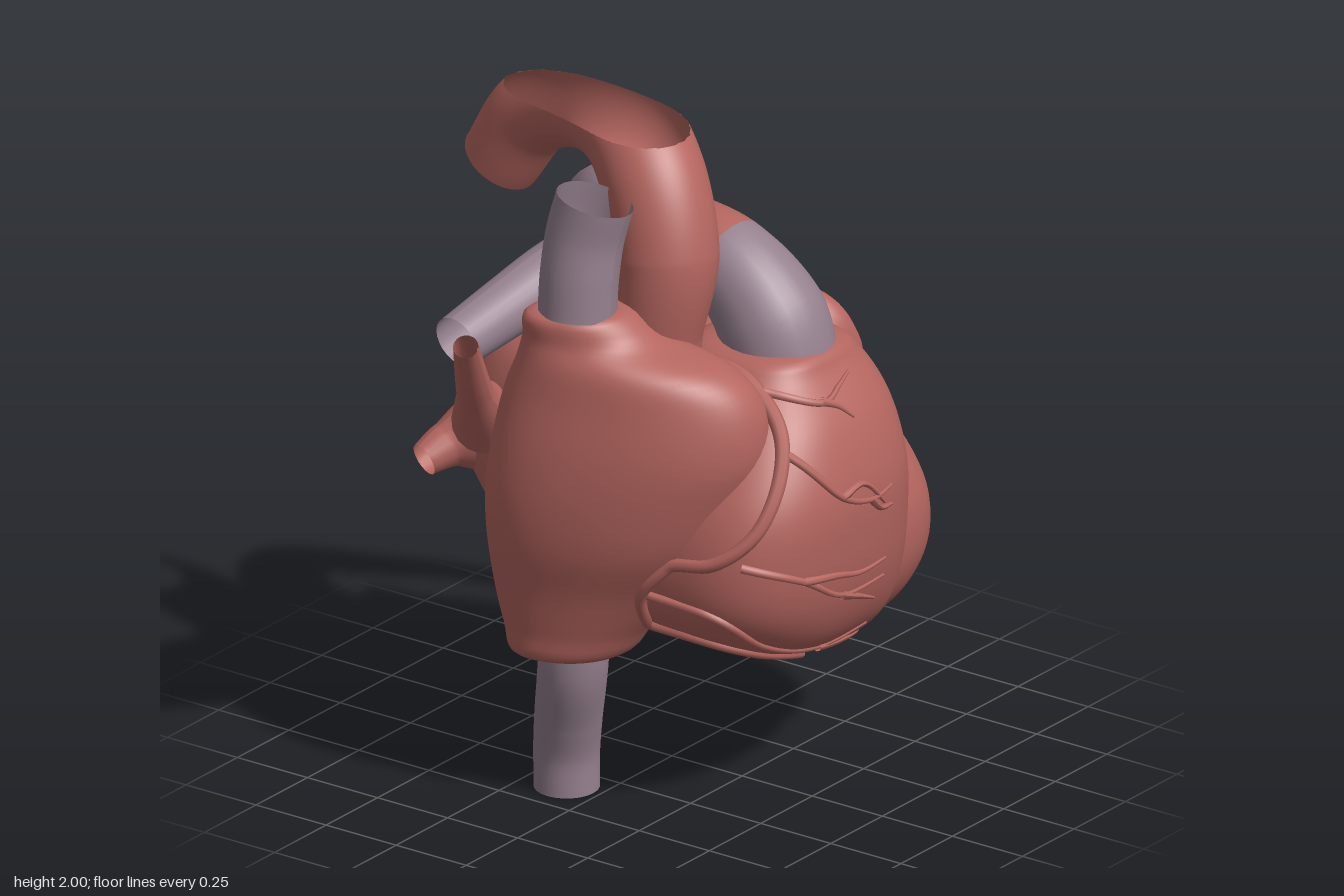
import * as THREE from 'three';

const red = new THREE.MeshStandardMaterial({ color: 0xb4655f, side: THREE.DoubleSide });
red.name = 'muscle red';
const purple = new THREE.MeshStandardMaterial({ color: 0x95808e, side: THREE.DoubleSide });
purple.name = 'vein purple';

const V = (p) => new THREE.Vector3(...p);

function named(name, geometry, material = red) {
  const mesh = new THREE.Mesh(geometry, material);
  mesh.name = name;
  return mesh;
}

// Smooth body from horizontal sections [y, xMin, xMax, zMin, zMax];
// n is the squareness, lean moves the front of each section toward +x
function loft(sections, n, lean = 0, rings = 56, sides = 72) {
  const mid = new THREE.CatmullRomCurve3(
    sections.map(([y, a, b, c, d]) => new THREE.Vector3((a + b) / 2, y, (c + d) / 2)), false, 'catmullrom');
  const half = new THREE.CatmullRomCurve3(
    sections.map(([, a, b, c, d]) => new THREE.Vector3((b - a) / 2, 0, (d - c) / 2)), false, 'catmullrom');
  const pos = [], index = [];
  const bend = (v) => Math.sign(v) * Math.abs(v) ** (2 / n);
  for (let k = 0; k <= rings; k++) {
    const c = mid.getPoint(k / rings), h = half.getPoint(k / rings);
    for (let j = 0; j < sides; j++) {
      const a = (j / sides) * Math.PI * 2;
      const dz = Math.max(h.z, 0) * bend(Math.sin(a));
      pos.push(c.x + Math.max(h.x, 0) * bend(Math.cos(a)) + lean * dz, c.y, c.z + dz);
      if (k === rings) continue;
      const A = k * sides + j, B = k * sides + (j + 1) % sides;
      index.push(A, A + sides, B, B, A + sides, B + sides);
    }
  }
  const g = new THREE.BufferGeometry();
  g.setAttribute('position', new THREE.Float32BufferAttribute(pos, 3));
  g.setIndex(index);
  g.computeVertexNormals();
  return g;
}

// Open tube through points [x, y, z, radius]
function vessel(points, segments = 40, sides = 24) {
  const curve = new THREE.CatmullRomCurve3(points.map((p) => V(p.slice(0, 3))));
  const g = new THREE.TubeGeometry(curve, segments, 1, sides);
  const pos = g.attributes.position, v = new THREE.Vector3();
  for (let k = 0; k <= segments; k++) {
    const c = curve.getPointAt(k / segments);
    const t = curve.getUtoTmapping(k / segments) * (points.length - 1);
    const i = Math.min(Math.floor(t), points.length - 2);
    const r = THREE.MathUtils.lerp(points[i][3], points[i + 1][3], t - i);
    for (let j = 0; j <= sides; j++) {
      const n = k * (sides + 1) + j;
      v.fromBufferAttribute(pos, n).sub(c).multiplyScalar(r).add(c);
      pos.setXYZ(n, v.x, v.y, v.z);
    }
  }
  g.computeVertexNormals();
  return g;
}

// Colour a tube in stretches: [[lastSegment, materialIndex], ...]
function stretches(g, list, sides = 24) {
  let from = 0;
  for (const [to, m] of list) {
    g.addGroup(from * sides * 6, (to - from) * sides * 6, m);
    from = to;
  }
  return g;
}

// Cut a geometry flat at height y and leave it open
function cutAbove(g, y) {
  const pos = g.attributes.position, old = g.index.array, kept = [];
  for (let i = 0; i < old.length; i += 3) {
    const t = [old[i], old[i + 1], old[i + 2]];
    if (t.some((n) => pos.getY(n) < y)) kept.push(...t);
  }
  for (let i = 0; i < pos.count; i++) pos.setY(i, Math.min(pos.getY(i), y));
  g.setIndex(kept);
  return g;
}

export function createModel() {
  const heart = new THREE.Group();
  heart.name = 'heart';

  // Chambers
  const leftVentricle = named('leftVentricle', loft([
    [0.36, 0.36, 0.38, 0.12, 0.14], [0.375, 0.2, 0.48, -0.04, 0.34], [0.43, 0.05, 0.555, -0.13, 0.45],
    [0.53, -0.08, 0.62, -0.22, 0.54], [0.66, -0.12, 0.655, -0.3, 0.585], [0.82, -0.12, 0.64, -0.37, 0.575],
    [1.0, -0.12, 0.57, -0.34, 0.49], [1.17, -0.1, 0.46, -0.2, 0.36], [1.29, 0, 0.36, -0.1, 0.25],
    [1.36, 0.1, 0.27, -0.03, 0.13], [1.37, 0.18, 0.2, 0.04, 0.06]], 2.25, 0.13));
  const rightVentricle = named('rightVentricle', loft([
    [0.38, 0.26, 0.28, 0.18, 0.2], [0.395, 0.08, 0.39, 0.02, 0.4], [0.44, -0.1, 0.42, 0, 0.5],
    [0.53, -0.3, 0.435, -0.03, 0.59], [0.66, -0.43, 0.435, -0.05, 0.65], [0.82, -0.46, 0.425, -0.05, 0.68],
    [1.0, -0.42, 0.405, -0.05, 0.685], [1.18, -0.31, 0.37, -0.03, 0.63], [1.31, -0.19, 0.31, 0.05, 0.54],
    [1.37, -0.12, 0.23, 0.13, 0.49], [1.39, 0.05, 0.07, 0.3, 0.32]], 2.8));
  const rightAtrium = named('rightAtrium', loft([
    [0.47, -0.43, -0.41, -0.06, -0.04], [0.472, -0.56, -0.28, -0.19, 0.1], [0.56, -0.58, -0.25, -0.22, 0.17],
    [0.7, -0.6, -0.2, -0.25, 0.28], [0.85, -0.625, -0.17, -0.26, 0.4], [1.0, -0.63, -0.16, -0.26, 0.47],
    [1.15, -0.615, -0.16, -0.24, 0.52], [1.3, -0.59, -0.18, -0.21, 0.5], [1.4, -0.58, -0.23, -0.17, 0.41],
    [1.47, -0.575, -0.29, -0.15, 0.22], [1.55, -0.57, -0.34, -0.13, 0.13], [1.55, -0.46, -0.45, 0, 0.01]], 2.2, 0.28));
  const leftAtrium = named('leftAtrium', loft([
    [0.62, -0.06, -0.04, -0.2, -0.18], [0.66, -0.26, 0.14, -0.33, 0], [0.78, -0.4, 0.26, -0.42, 0.08],
    [0.95, -0.45, 0.33, -0.52, 0.1], [1.1, -0.46, 0.34, -0.535, 0.1], [1.25, -0.45, 0.32, -0.49, 0.1],
    [1.36, -0.4, 0.26, -0.4, 0.04], [1.42, -0.28, 0.15, -0.27, -0.03], [1.43, -0.08, -0.06, -0.17, -0.15]], 3));
  const chambers = [leftVentricle, rightVentricle, rightAtrium, leftAtrium];
  heart.add(...chambers);

  // Ear-shaped flap lying over the left ventricle, pointed toward the lower front
  const flap = new THREE.SphereGeometry(1, 48, 32);
  const fp = flap.attributes.position;
  const boxy = (v) => Math.sign(v) * Math.abs(v) ** 0.7;
  for (let i = 0; i < fp.count; i++) {
    const x = boxy(fp.getX(i)), y = boxy(fp.getY(i)), z = boxy(fp.getZ(i));
    fp.setXYZ(i, 0.115 * x + 0.01 * Math.sin(7 * z + 3 * y), 0.185 * y * (1 - 0.12 * z) - 0.03 * z, 0.275 * z - 0.03 * y);
  }
  flap.computeVertexNormals();
  const leftAuricle = named('leftAuricle', flap);
  leftAuricle.position.set(0.32, 1.285, 0.11);
  leftAuricle.rotation.z = 0.6;
  heart.add(leftAuricle);

  // Aorta, cut open along the top of its arch
  heart.add(named('aorta', cutAbove(vessel([
    [-0.19, 1.2, 0.1, 0.12], [-0.22, 1.42, 0.11, 0.13], [-0.2, 1.66, 0.125, 0.155], [-0.16, 1.87, 0.05, 0.155],
    [-0.1, 1.98, -0.08, 0.15], [-0.06, 2.0, -0.25, 0.14], [-0.04, 1.92, -0.45, 0.13], [-0.04, 1.735, -0.58, 0.118]],
  220, 80), 2)));

  // Pulmonary trunk running into the long left branch
  heart.add(named('pulmonaryTrunk', stretches(vessel([
    [0.06, 1.25, 0.36, 0.165], [0.06, 1.42, 0.31, 0.165], [0.06, 1.55, 0.18, 0.14], [0.08, 1.59, 0.02, 0.125],
    [0.12, 1.585, -0.18, 0.12], [0.2, 1.57, -0.36, 0.115], [0.32, 1.48, -0.5, 0.1], [0.41, 1.33, -0.56, 0.082],
    [0.49, 1.16, -0.57, 0.068], [0.6, 0.95, -0.56, 0.054], [0.7, 0.71, -0.525, 0.042]], 96),
  [[19, 1], [40, 0], [96, 1]]), [red, purple]));
  heart.add(named('rightPulmonaryArtery', stretches(vessel([
    [0.08, 1.58, -0.06, 0.1], [-0.08, 1.56, -0.19, 0.105], [-0.25, 1.53, -0.235, 0.1],
    [-0.45, 1.485, -0.265, 0.09], [-0.65, 1.44, -0.29, 0.08]], 40), [[12, 0], [40, 1]]), [red, purple]));

  // Great veins
  heart.add(named('upperVein', vessel([
    [-0.46, 1.54, 0, 0.115], [-0.45, 1.65, 0, 0.115], [-0.43, 1.77, 0.005, 0.115], [-0.415, 1.885, 0.03, 0.115]]), purple));
  heart.add(named('lowerVein', vessel([
    [-0.42, 0.52, -0.04, 0.105], [-0.415, 0.4, -0.05, 0.102], [-0.38, 0.24, -0.09, 0.099],
    [-0.358, 0.12, -0.113, 0.097], [-0.356, 0, -0.114, 0.096]]), purple));

  // Short open veins on the left atrium
  [
    [[-0.4, 1.1, -0.36, 0.11], [-0.56, 1.25, -0.29, 0.055], [-0.73, 1.475, -0.2, 0.037]],
    [[-0.3, 1.03, -0.4, 0.15], [-0.43, 1.0, -0.48, 0.07], [-0.51, 0.97, -0.51, 0.05]],
    [[0.2, 1.24, -0.27, 0.08], [0.28, 1.26, -0.29, 0.055], [0.36, 1.28, -0.31, 0.06]],
    [[0.2, 0.99, -0.4, 0.08], [0.28, 0.98, -0.44, 0.05], [0.35, 0.98, -0.46, 0.055]],
  ].forEach((path, i) => heart.add(named('pulmonaryVein' + (i + 1), vessel(path, 14, 18))));

  // Thin vessels laid on the chamber walls by casting each path along a direction
  const caster = new THREE.Raycaster();
  function surfaceVessel(name, path, r0, r1, dir = [0, 0, -1]) {
    const d = V(dir).normalize();
    const guide = new THREE.CatmullRomCurve3(path.map(([x, y, z = 0]) => V([x, y, z])));
    const pts = [], steps = path.length * 6;
    for (let i = 0; i <= steps; i++) {
      caster.set(guide.getPoint(i / steps).addScaledVector(d, -2), d);
      const hit = caster.intersectObjects(chambers, false)[0];
      if (hit) pts.push([...hit.point.toArray(), THREE.MathUtils.lerp(r0, r1, i / steps)]);
    }
    if (pts.length > 2) heart.add(named(name, vessel(pts, pts.length * 2, 8)));
  }
  chambers.forEach((c) => c.updateMatrixWorld());

  surfaceVessel('rightCoronary', [[-0.175, 1.36], [-0.18, 1.3], [-0.23, 1.18], [-0.36, 0.98], [-0.47, 0.81],
    [-0.475, 0.72], [-0.39, 0.6], [-0.25, 0.525], [-0.04, 0.455]], 0.026, 0.014);
  [
    [[-0.18, 1.31], [-0.04, 1.26], [0.04, 1.28], [0.11, 1.3]],
    [[-0.05, 1.265], [0, 1.24], [0.04, 1.2]],
    [[-0.23, 1.16], [-0.1, 1.01], [0.04, 0.96], [0.14, 0.97]],
    [[-0.1, 1.01], [0, 1.02], [0.1, 0.93]],
    [[0.03, 0.965], [0.08, 0.92], [0.14, 0.91]],
    [[-0.41, 0.86], [-0.25, 0.79], [-0.07, 0.69], [0.14, 0.68]],
    [[-0.25, 0.79], [-0.12, 0.77], [0, 0.74], [0.13, 0.74]],
    [[-0.07, 0.69], [0.03, 0.65], [0.12, 0.61]],
    [[-0.46, 0.72], [-0.28, 0.57], [-0.04, 0.49], [0.17, 0.5]],
    [[-0.04, 0.49], [0.15, 0.45], [0.3, 0.41]],
  ].forEach((path, i) => surfaceVessel('frontBranch' + (i + 1), path, 0.014, 0.005));

  // Groove vessel behind the left ventricle, and the branching one underneath
  surfaceVessel('coronarySinus', [[0.37, 0.9, -0.36], [0.32, 0.76, -0.35], [0.22, 0.64, -0.3],
    [0.08, 0.55, -0.22], [-0.15, 0.5, -0.1]], 0.024, 0.02, [-0.3, 0.3, 1]);
  const under = [-0.6, 0.6, 0.5];
  surfaceVessel('underVessel', [[0.56, 0.44, 0.25], [0.47, 0.43, 0.07], [0.36, 0.46, -0.1], [0.2, 0.55, -0.25]],
    0.008, 0.014, under);
  [[0.53, 0.43, 0.18], [0.46, 0.43, 0.05], [0.37, 0.46, -0.08]].forEach(([x, y, z], i) =>
    surfaceVessel('underBranch' + (i + 1), [[x, y, z], [x + 0.04, y + 0.06, z - 0.01], [x + 0.05, y + 0.12, z + 0.02]],
      0.01, 0.004, under));

  return heart;
}
